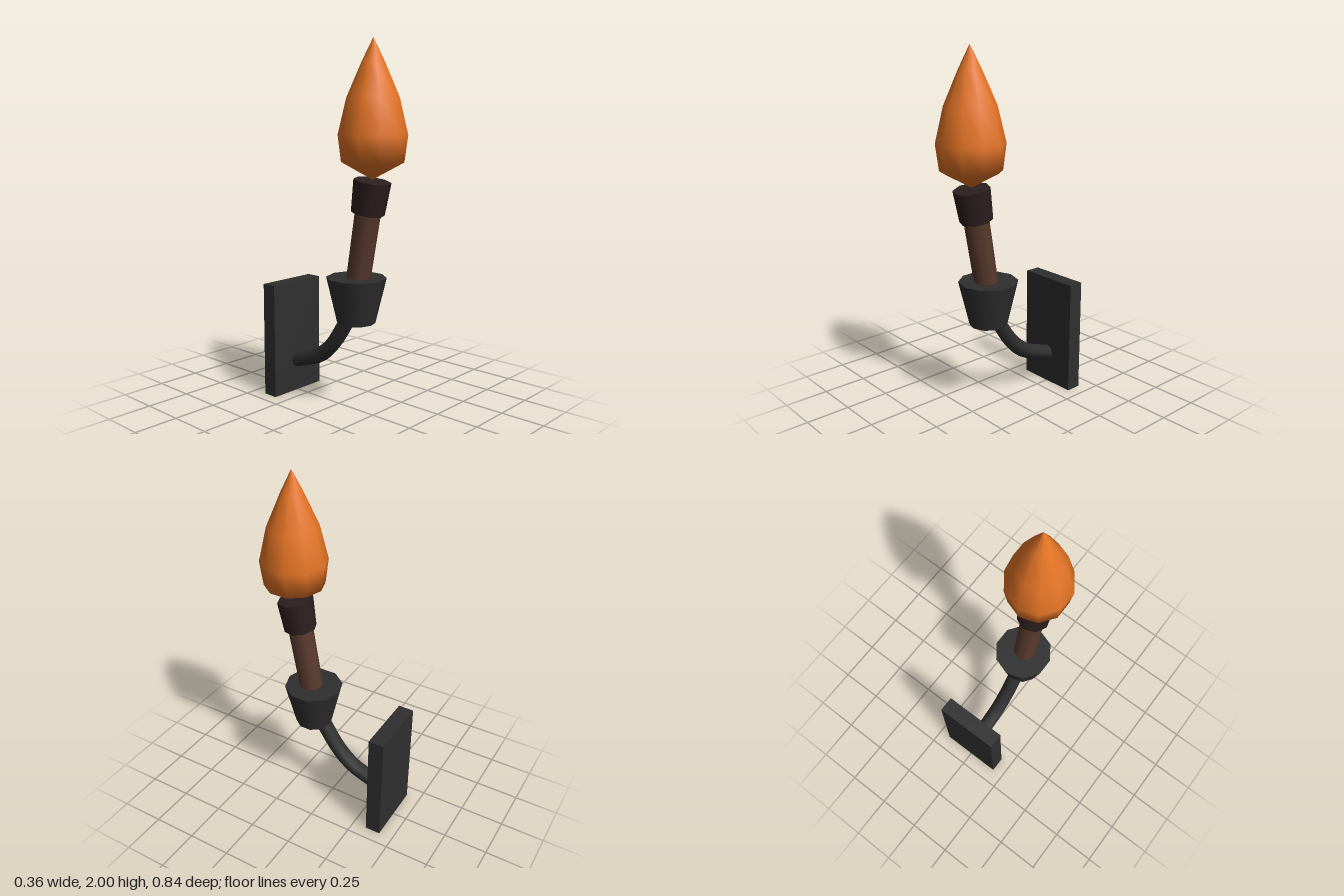
import * as THREE from 'three';

const material = (name, color) => {
  const m = new THREE.MeshStandardMaterial({ color });
  m.name = name;
  return m;
};

export function createModel() {
  const iron = material('dark iron', 0x2f2f2f);
  const wood = material('brown wood', 0x5a3a2d);
  const char = material('charred wrap', 0x2d1f1f);
  const fire = material('orange flame', 0xe67526);

  const model = new THREE.Group();
  model.name = 'wallTorch';
  const add = (parent, name, geometry, mat, x = 0, y = 0, z = 0) => {
    const mesh = new THREE.Mesh(geometry, mat);
    mesh.name = name;
    mesh.position.set(x, y, z);
    parent.add(mesh);
    return mesh;
  };

  // Wall plate
  add(model, 'wallPlate', new THREE.BoxGeometry(0.362, 0.655, 0.088), iron, 0, 0.3275, -0.374);

  // Curved arm from the plate up into the cup
  const path = new THREE.CatmullRomCurve3([
    [0.18, -0.35], [0.213, -0.25], [0.26, -0.135], [0.345, -0.04], [0.493, 0.061], [0.53, 0.085],
  ].map(([y, z]) => new THREE.Vector3(0, y, z)));
  add(model, 'arm', new THREE.TubeGeometry(path, 12, 0.044, 8), iron);

  // Holder cup
  add(model, 'cup', new THREE.CylinderGeometry(0.164, 0.105, 0.25, 10), iron, 0, 0.622, 0.127);

  // Torch leaning forward: handle and wrapped head
  const torch = new THREE.Group();
  torch.name = 'torch';
  torch.position.set(0, 0.505, 0.101);
  torch.rotation.x = THREE.MathUtils.degToRad(10);
  model.add(torch);
  add(torch, 'handle', new THREE.CylinderGeometry(0.07, 0.064, 0.7, 8), wood, 0, 0.35, 0);
  add(torch, 'head', new THREE.CylinderGeometry(0.1, 0.09, 0.175, 8), char, 0, 0.693, 0);

  // Upright flame
  const profile = [[0, 1.28], [0.164, 1.37], [0.182, 1.51], [0.137, 1.7], [0.059, 1.88], [0, 2]]
    .map(([r, y]) => new THREE.Vector2(r, y));
  add(model, 'flame', new THREE.LatheGeometry(profile, 10), fire, 0, 0, 0.236);

  return model;
}
